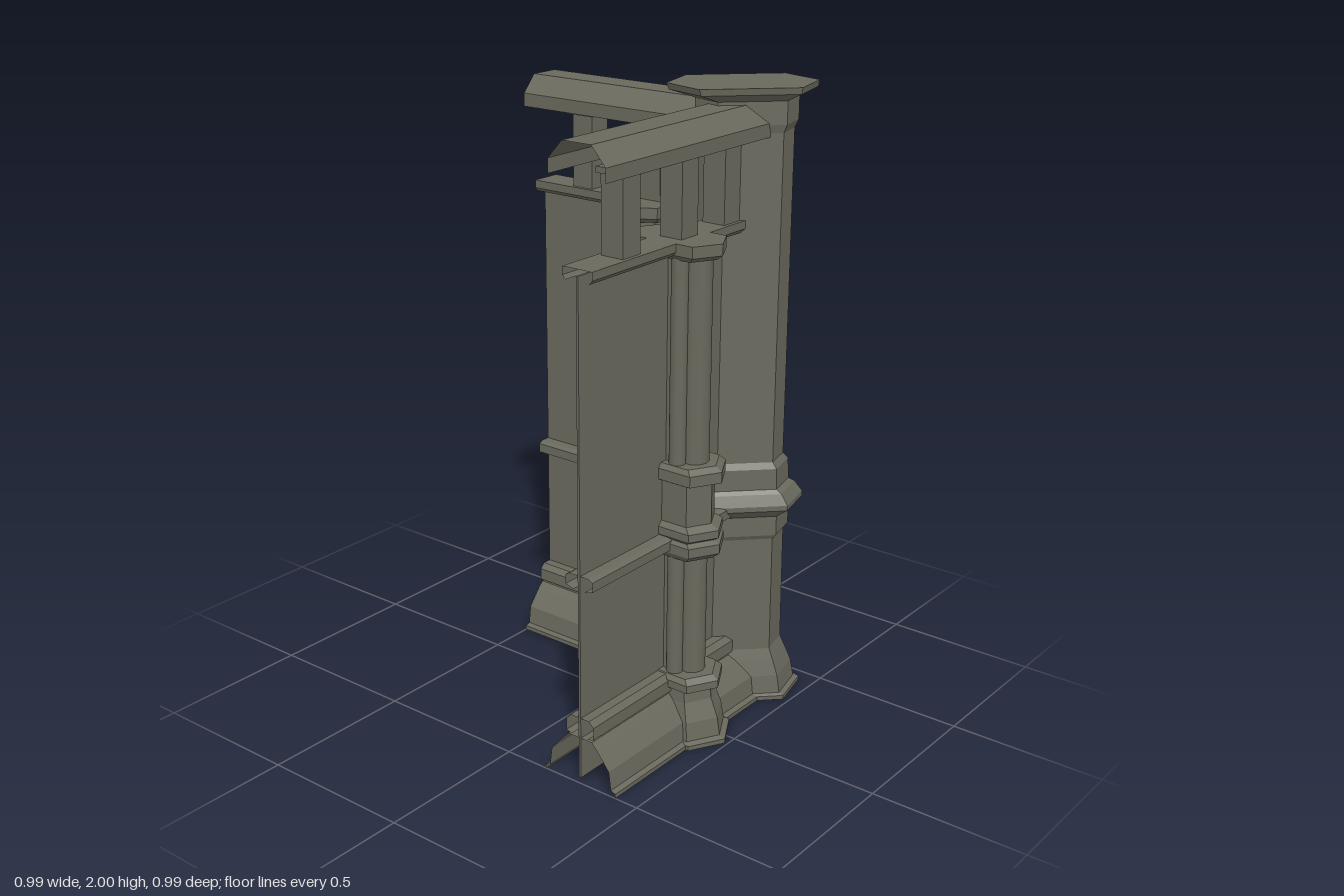
import * as THREE from 'three';

const stone = new THREE.MeshStandardMaterial({ color: 0x6a695d, side: THREE.DoubleSide });
stone.name = 'weathered olive stone';

const CENTRE = 0.285; // distance of each wall from the middle axes

// Flat-shaded skin between successive rings of points
function loft(name, rings, { closed = true, cap = false } = {}) {
  const pos = [];
  const tri = (...pts) => pts.forEach((p) => pos.push(...p));
  for (let r = 0; r + 1 < rings.length; r++) {
    const a = rings[r], b = rings[r + 1], n = a.length;
    for (let i = 0; i < (closed ? n : n - 1); i++) {
      const j = (i + 1) % n;
      tri(a[i], a[j], b[j]);
      tri(a[i], b[j], b[i]);
    }
  }
  if (cap) {
    const top = rings[rings.length - 1];
    for (let i = 1; i + 1 < top.length; i++) tri(top[0], top[i], top[i + 1]);
  }
  const geo = new THREE.BufferGeometry();
  geo.setAttribute('position', new THREE.Float32BufferAttribute(pos, 3));
  geo.computeVertexNormals();
  const mesh = new THREE.Mesh(geo, stone);
  mesh.name = name;
  return mesh;
}

// Stretched hexagonal pillar, levels are [height, scale, shift along the long axis]
function hexPillar(name, levels, half, shoulder, tip) {
  const outline = [[0, tip], [half, shoulder], [half, -shoulder], [0, -tip], [-half, -shoulder], [-half, shoulder]];
  const rings = levels.map(([y, s, shift = 0]) => outline.map(([x, z]) => [x * s, y, z * s + shift]));
  return loft(name, rings, { cap: true });
}

// Open moulding running along x, symmetric profile given as [half depth, height] up one side
function moulding(name, side, x1 = CENTRE) {
  const profile = [...side, ...side.slice().reverse().map(([z, y]) => [-z, y])];
  const rings = [-0.5, x1].map((x) => profile.map(([z, y]) => [x, y, z]));
  return loft(name, rings, { closed: false });
}

function box(name, w, h, d, x, y, z = 0) {
  const mesh = new THREE.Mesh(new THREE.BoxGeometry(w, h, d), stone);
  mesh.name = name;
  mesh.position.set(x, y, z);
  return mesh;
}

// Bundle of slim shafts around a core
function shaftCluster(name, y0, y1) {
  const group = new THREE.Group();
  group.name = name;
  const h = y1 - y0, y = (y0 + y1) / 2;
  group.add(box('shaftCore', 0.11, h, 0.1, 0, y));
  for (const s of [-1, 1]) {
    for (const [r, x, z] of [[0.043, 0, 0.072 * s], [0.026, 0.052 * s, 0.045], [0.026, 0.052 * s, -0.045]]) {
      const shaft = new THREE.Mesh(new THREE.CylinderGeometry(r, r, h, 10, 1, true), stone);
      shaft.name = 'slimShaft';
      shaft.position.set(x, y, z);
      group.add(shaft);
    }
  }
  return group;
}

function buttress() {
  const group = new THREE.Group();
  group.name = 'buttress';
  const hex = (name, levels) => group.add(hexPillar(name, levels, 0.11, 0.145, 0.206));
  hex('buttressBase', [[0, 1], [0.015, 1], [0.022, 0.9], [0.08, 0.85], [0.14, 0.73], [0.175, 0.71],
    [0.185, 0.85], [0.21, 0.85], [0.225, 0.74]]);
  hex('buttressWaist', [[0.62, 0.7], [0.64, 0.82], [0.67, 0.82], [0.68, 0.72], [0.69, 0.8], [0.715, 0.8],
    [0.73, 0.66], [0.86, 0.66], [0.87, 0.83], [0.905, 0.83], [0.92, 0.72]]);
  hex('buttressCapital', [[1.55, 0.66], [1.565, 0.76], [1.6, 0.76]]);
  group.add(shaftCluster('lowerShafts', 0.2, 0.65), shaftCluster('upperShafts', 0.9, 1.58));
  group.position.x = -0.04;
  return group;
}

// One wall arm along x, with its mid plane on z = 0
function wallArm(name) {
  const arm = new THREE.Group();
  arm.name = name;
  arm.add(box('wallPanel', 0.5 + CENTRE, 1.56, 0.008, (CENTRE - 0.5) / 2, 0.8));
  arm.add(moulding('plinthSkirt', [[0.135, 0], [0.135, 0.014], [0.118, 0.02], [0.11, 0.08], [0.065, 0.135], [0.045, 0.155]]));
  arm.add(moulding('plinthBand', [[0.03, 0.16], [0.052, 0.165], [0.052, 0.205], [0.035, 0.222]]));
  arm.add(moulding('middleLedge', [[0.02, 0.64], [0.05, 0.648], [0.05, 0.678], [0.035, 0.686]]));
  arm.add(moulding('topLedge', [[0.042, 1.563], [0.052, 1.575], [0.052, 1.6]]));
  arm.add(moulding('handrail', [[0.1, 1.848], [0.1, 1.89], [0.05, 1.945]]));
  arm.add(buttress());

  // Posts carrying the handrail
  for (const x of [-0.31, -0.04, 0.17]) {
    arm.add(box('railPost', 0.078, 0.25, 0.078, x, 1.72));
    arm.add(box('railPostCap', 0.098, 0.018, 0.098, x, 1.842));
  }
  return arm;
}

export function createModel() {
  const model = new THREE.Group();
  model.name = 'cornerWall';

  const leftward = wallArm('sideArm');
  leftward.position.z = CENTRE;
  const backward = wallArm('rearArm');
  backward.rotation.y = -Math.PI / 2;
  backward.position.x = CENTRE;
  model.add(leftward, backward);

  // Corner column, long axis on the diagonal
  const column = hexPillar('cornerColumn', [
    [0, 1.55], [0.014, 1.55], [0.02, 1.42], [0.08, 1.34], [0.13, 1.2], [0.17, 1.08],
    [0.56, 1.06], [0.575, 1.16], [0.64, 1.16], [0.668, 1.46], [0.685, 1.46], [0.72, 1.28], [0.732, 1.14],
    [0.8, 1.12], [0.82, 1], [1.86, 1], [1.885, 1.08], [1.955, 1.08], [1.98, 1.54, -0.012], [2, 1.58, -0.014],
  ], 0.081, 0.0955, 0.145);
  column.rotation.y = Math.PI / 4;
  column.position.set(0.288, 0, 0.288);
  model.add(column);
  return model;
}
